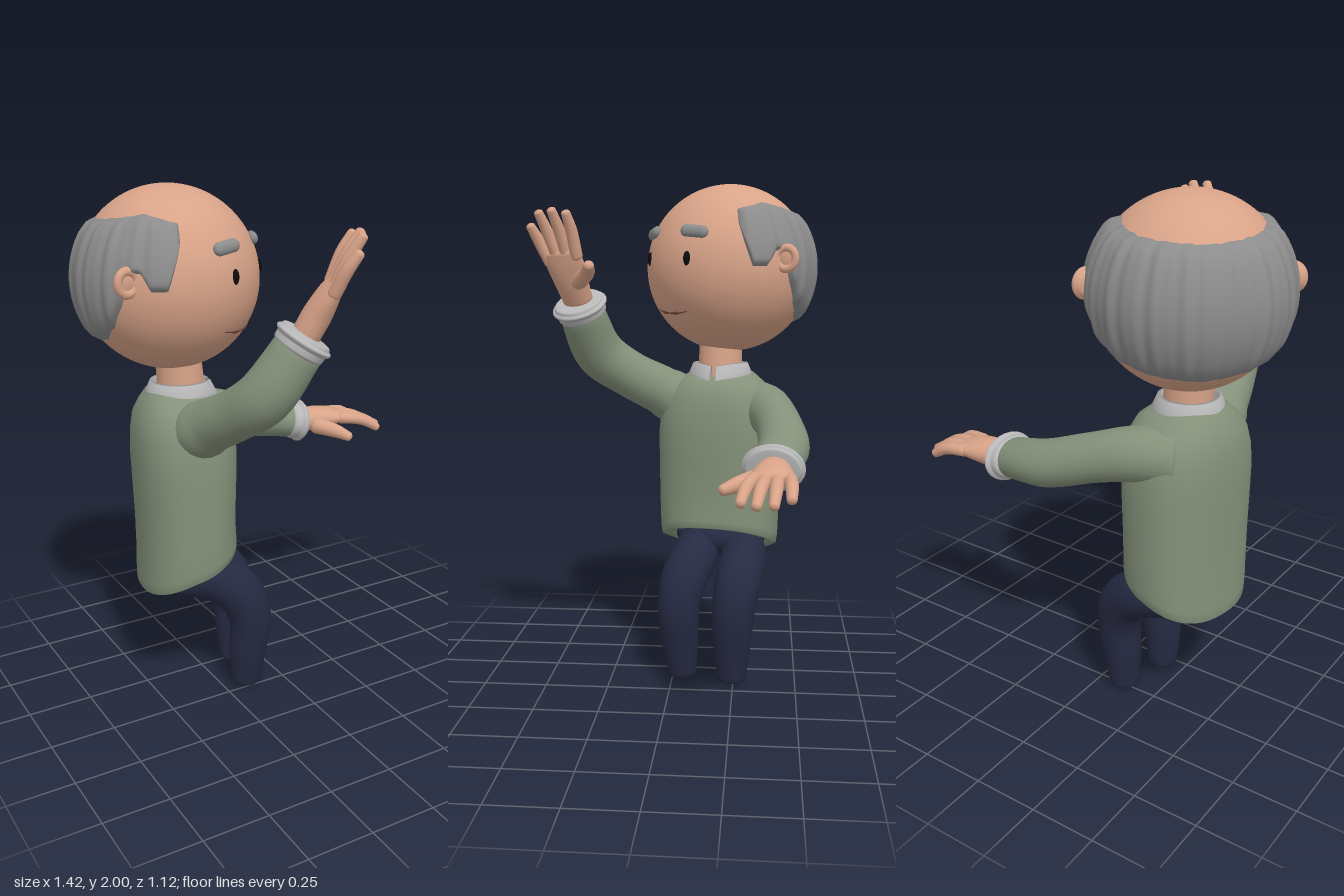
import * as THREE from 'three';

const V = (a) => new THREE.Vector3(...a);
const mat = (color, side = THREE.FrontSide) => new THREE.MeshStandardMaterial({ color, side, roughness: 0.8 });
const SKIN = mat(0xd8a388), WOOL = mat(0x84917a, THREE.DoubleSide), HAIR = mat(0x8c8c8c, THREE.DoubleSide);
const TROUSER = mat(0x262a42), LINEN = mat(0xb8b8b8, THREE.DoubleSide), BLACK = mat(0x0c0c0c);

function add(parent, name, geometry, material, pos = [0, 0, 0], scale = [1, 1, 1]) {
  const m = new THREE.Mesh(geometry, material);
  m.name = name;
  m.position.set(...pos);
  m.scale.set(...scale);
  parent.add(m);
  return m;
}

// Skin a list of rings (arrays of Vector3) into one smooth surface
function loft(rings, closed = true) {
  const n = rings[0].length, index = [];
  for (let i = 0; i < rings.length - 1; i++) {
    for (let j = 0; j < (closed ? n : n - 1); j++) {
      const k = (j + 1) % n, a = i * n + j, b = i * n + k;
      index.push(a, b, b + n, a, b + n, a + n);
    }
  }
  const g = new THREE.BufferGeometry().setFromPoints(rings.flat());
  g.setIndex(index);
  g.computeVertexNormals();
  return g;
}

// Rounded limb along a path; each radius is a number or [along side, across side]
function limb(path, radii, side, cap = 0.7, steps = 24, sides = 24) {
  const curve = new THREE.CatmullRomCurve3(path.map(V));
  const size = new THREE.CatmullRomCurve3(radii.map((r) => (r.length ? V([r[0], r[1], 0]) : V([r, r, 0]))));
  const rings = [];
  const ring = (t, k, shift) => {
    const dir = curve.getTangent(t), r = size.getPoint(t);
    const s = V(side).addScaledVector(dir, -V(side).dot(dir)).normalize();
    const n = new THREE.Vector3().crossVectors(dir, s);
    const c = curve.getPoint(t).addScaledVector(dir, shift * Math.min(r.x, r.y) * cap);
    rings.push(Array.from({ length: sides }, (_, j) => {
      const a = (j / sides) * Math.PI * 2;
      return c.clone().addScaledVector(s, Math.cos(a) * r.x * k).addScaledVector(n, Math.sin(a) * r.y * k);
    }));
  };
  const caps = [0.01, 0.35, 0.7, 0.92];
  caps.forEach((k) => ring(0, k, -Math.sqrt(1 - k * k)));
  for (let i = 0; i <= steps; i++) ring(i / steps, 1, 0);
  caps.reverse().forEach((k) => ring(1, k, Math.sqrt(1 - k * k)));
  return loft(rings);
}

// Piecewise linear lookup in a list of [x, y]
function lookup(table, x) {
  const i = Math.max(1, table.findIndex((p) => p[0] >= x));
  const [a, b] = [table[i - 1], table[i]];
  return a[1] + ((b[1] - a[1]) * (x - a[0])) / (b[0] - a[0]);
}

// Palm, four fingers and thumb
function hand(parent, name, { wrist, index, pinky, tips, thumb, bend }) {
  const g = new THREE.Group();
  g.name = name;
  parent.add(g);
  const A = V(index), B = V(pinky), W = V(wrist), side = A.clone().sub(B).toArray();
  const mid = A.clone().lerp(B, 0.5), half = A.distanceTo(B) / 2;
  const palm = [W, W.clone().lerp(mid, 0.35), W.clone().lerp(mid, 0.75), mid].map((p) => p.toArray());
  add(g, 'palm', limb(palm, [[0.062, 0.05], [0.07, 0.05], [half + 0.01, 0.038], [half + 0.01, 0.024]], side), SKIN);
  tips.forEach((tip, i) => {
    const base = A.clone().lerp(B, i / 3), end = V(tip);
    const start = base.clone().lerp(W, 0.12), knuckle = base.clone().lerp(end, 0.5).add(V(bend));
    add(g, 'finger', limb([start, knuckle, end].map((p) => p.toArray()), [0.024, 0.023, 0.018], side, 0.7, 10, 14), SKIN);
  });
  add(g, 'thumb', limb(thumb, [0.036, 0.029, 0.02], [0, 1, 0.1], 0.7, 10, 14), SKIN);
}

// Flared shirt cuff around a wrist
function cuff(parent, name, from, to, rx, ry, side) {
  const a = V(from), b = V(to), at = (t) => a.clone().lerp(b, t).toArray();
  const g = limb([at(0), at(0.15), at(0.5), at(0.85), at(1)],
    [[rx * 0.9, ry * 0.9], [rx * 0.98, ry * 0.98], [rx, ry], [rx, ry], [rx * 0.95, ry * 0.95]], side, 0.06);
  add(parent, name, g, LINEN);
}

function buildHead() {
  const head = new THREE.Group();
  head.name = 'head';
  head.position.set(-0.36, 1.665, -0.215);
  head.rotation.y = 0.715;
  const R = 0.335, rad = Math.PI / 180;
  const on = (deg, y, r = R) => {
    const h = Math.sqrt(r * r - y * y);
    return [Math.sin(deg * rad) * h, y, Math.cos(deg * rad) * h];
  };
  add(head, 'skull', new THREE.SphereGeometry(R, 64, 48), SKIN);

  // Fringe of hair round the back: lower and upper edge by angle from the back
  const low = [[0, -0.245], [40, -0.23], [62, -0.2], [76, -0.14], [86, -0.05], [90, 0.06], [98, 0.06], [104, 0], [114, 0], [119, 0.09], [124, 0.2]];
  const high = [[0, 0.225], [50, 0.235], [95, 0.255], [112, 0.24], [124, 0.222]];
  const rings = [], rows = 16, cols = 180;
  for (let i = 0; i <= rows; i++) {
    rings.push(Array.from({ length: cols + 1 }, (_, j) => {
      const deg = 56.5 + (j / cols) * 247, d = Math.abs(deg - 180), v = i / rows;
      const y = THREE.MathUtils.lerp(lookup(low, d), lookup(high, d), v);
      const edge = Math.min(1, 7 * v, 7 * (1 - v), (123.5 - d) / 7);
      const flute = 0.003 * Math.sin(deg * 0.42) + 0.002 * Math.sin(deg * 0.71 + 1);
      const r = R - 0.008 + (0.028 + flute) * Math.sqrt(Math.max(0, edge * (2 - edge)));
      return V(on(deg, y, r));
    }));
  }
  add(head, 'hair', loft(rings, false), HAIR);

  for (const s of [-1, 1]) {
    const ball = new THREE.SphereGeometry(1, 24, 16);
    add(head, 'eye', ball, BLACK, on(s * 21.4, 0.035, R - 0.002), [0.015, 0.028, 0.012]).rotation.y = s * 21.4 * rad;
    const brow = add(head, 'eyebrow', new THREE.CapsuleGeometry(0.024, 0.07, 8, 20).rotateZ(Math.PI / 2), HAIR, on(s * 25, 0.138, R + 0.004), [1, 1, 0.75]);
    brow.rotation.set(-0.3, s * 25 * rad, -s * 0.1, 'YXZ');
    // Ear: dished disc with a raised rim
    const ear = new THREE.Group();
    ear.name = 'ear';
    ear.position.set(s * 0.345, 0.035, 0);
    ear.rotation.y = s * 0.55;
    add(ear, 'earBowl', ball, SKIN, [0, 0, -0.006], [0.045, 0.048, 0.02]);
    add(ear, 'earRim', new THREE.TorusGeometry(0.036, 0.015, 12, 32), SKIN, [0, 0, 0.004], [1, 1.1, 1]);
    head.add(ear);
  }
  const smile = [-24, -16, -4, 8, 16].map((a, i) => on(a, [-0.163, -0.171, -0.176, -0.174, -0.168][i], R));
  add(head, 'mouth', limb(smile, [0.002, 0.003, 0.003, 0.003, 0.002], [0, 1, 0], 0.7, 20, 8), mat(0x6b4336));
  return head;
}

function buildBody() {
  const body = new THREE.Group();
  body.name = 'body';
  body.position.set(-0.34, 0, -0.18);
  body.rotation.y = 1.38;
  const sgnPow = (v, p) => Math.sign(v) * Math.abs(v) ** p;

  // Jumper: [height, half width, half depth, hem tilt], starting inside the hem
  const rows = [[0.62, 0.01, 0.01, 0.3], [0.61, 0.17, 0.13, 0.6], [0.56, 0.215, 0.168, 1], [0.54, 0.228, 0.18, 1],
    [0.545, 0.238, 0.19, 1], [0.58, 0.243, 0.19, 0.9], [0.66, 0.246, 0.187, 0.6], [0.76, 0.248, 0.187, 0.3], [0.9, 0.25, 0.192, 0],
    [1.0, 0.25, 0.195, 0], [1.08, 0.243, 0.192, 0], [1.15, 0.222, 0.182, 0], [1.2, 0.185, 0.16, 0], [1.235, 0.14, 0.132, -0.15], [1.25, 0.1, 0.1, -0.25]];
  add(body, 'jumper', loft(rows.map(([y, w, d, tilt]) => Array.from({ length: 64 }, (_, j) => {
    const a = (j / 64) * Math.PI * 2;
    return V([sgnPow(Math.sin(a), 0.85) * w, y + tilt * 0.08 * Math.cos(a), sgnPow(Math.cos(a), 0.85) * d]);
  }))), WOOL);

  // Shirt collar, open at the front with two points
  const fold = [[0.12, 1.205, 1], [0.134, 1.215, 1], [0.128, 1.245, 0.6], [0.112, 1.283, 0.3], [0.1, 1.285, 0.3], [0.095, 1.23, 0.3]];
  add(body, 'collar', loft(fold.map(([r, y, drop]) => Array.from({ length: 61 }, (_, j) => {
    const a = 0.1 + (j / 60) * (Math.PI * 2 - 0.2), d = Math.min(a, Math.PI * 2 - a);
    const point = Math.exp(-((d / 0.5) ** 2)) * drop;
    return V([Math.sin(a) * r, y - 0.03 * point, Math.cos(a) * (r + 0.022 * point) - 0.005]);
  })), false), LINEN);
  add(body, 'neck', limb([[0, 1.16, 0], [0, 1.25, 0], [0, 1.4, -0.01]], [0.1, 0.09, 0.085], [1, 0, 0]), SKIN);
  add(body, 'hips', new THREE.SphereGeometry(1, 32, 20), TROUSER, [0, 0.55, -0.03], [0.19, 0.085, 0.13]);
  return body;
}

export function createModel() {
  const model = new THREE.Group();
  model.name = 'seatedMan';
  model.add(buildHead(), buildBody());

  // Bent legs
  for (const [name, dx, zs] of [['rightLeg', 0, [-0.1, -0.085, -0.045, -0.025, -0.03, -0.04]], ['leftLeg', 0.05, [-0.28, -0.285, -0.265, -0.25, -0.245, -0.243]]]) {
    const xy = [[-0.4, 0.52], [-0.27, 0.485], [-0.175, 0.41], [-0.138, 0.3], [-0.148, 0.15], [-0.155, 0.018]];
    add(model, name, limb(xy.map(([x, y], i) => [x + dx, y, zs[i]]), [0.085, 0.095, 0.094, 0.086, 0.075, 0.058], [0, 0, 1], 0.3, 36), TROUSER);
  }

  // Raised right arm
  const rs = [1, -0.6, 0];
  add(model, 'rightSleeve', limb([[-0.37, 1.08, -0.08], [-0.335, 1.165, 0.06], [-0.3, 1.235, 0.19], [-0.25, 1.325, 0.305], [-0.155, 1.485, 0.36]],
    [0.1, 0.1, 0.095, 0.1, 0.09], rs, 0.2), WOOL);
  cuff(model, 'rightCuff', [-0.16, 1.48, 0.358], [-0.128, 1.535, 0.372], 0.094, 0.1, rs);
  hand(model, 'rightHand', {
    wrist: [-0.13, 1.54, 0.372], index: [-0.01, 1.73, 0.355], pinky: [-0.08, 1.705, 0.485], bend: [-0.006, 0.004, 0],
    tips: [[0.04, 1.865, 0.385], [0.035, 1.875, 0.44], [0.005, 1.868, 0.495], [-0.035, 1.82, 0.535]],
    thumb: [[-0.075, 1.61, 0.365], [-0.005, 1.645, 0.315], [0.058, 1.672, 0.297]],
  });

  // Outstretched left arm
  add(model, 'leftSleeve', limb([[-0.37, 1.1, -0.31], [-0.25, 1.1, -0.37], [-0.1, 1.065, -0.415], [0.08, 1.005, -0.438], [0.19, 0.982, -0.425], [0.29, 0.962, -0.402]],
    [0.11, 0.1, 0.09, [0.097, 0.088], [0.095, 0.08], [0.088, 0.074]], [0, 0, 1], 0.2), WOOL);
  cuff(model, 'leftCuff', [0.265, 0.967, -0.406], [0.328, 0.955, -0.396], 0.104, 0.08, [0, 0, 1]);
  hand(model, 'leftHand', {
    wrist: [0.34, 0.955, -0.4], index: [0.515, 0.955, -0.325], pinky: [0.51, 0.955, -0.46], bend: [0, 0.012, 0],
    tips: [[0.655, 0.9, -0.29], [0.685, 0.897, -0.343], [0.68, 0.898, -0.4], [0.635, 0.91, -0.458]],
    thumb: [[0.38, 0.935, -0.35], [0.435, 0.92, -0.275], [0.465, 0.905, -0.225]],
  });
  return model;
}
